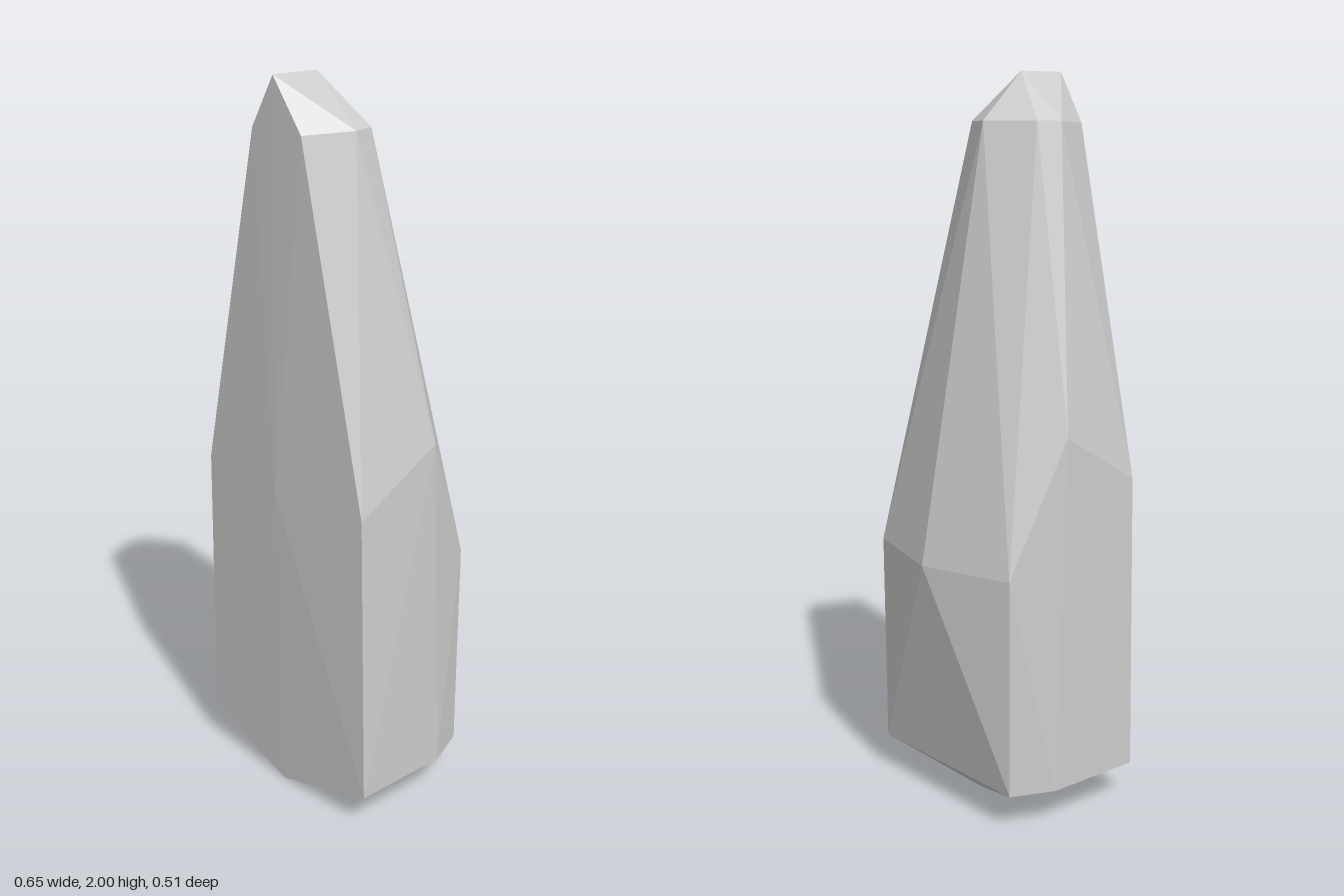
import * as THREE from 'three';
import { ConvexGeometry } from 'three/addons/geometries/ConvexGeometry.js';

// Centre-line points: slightly left of the middle
const CENTRE_X = -0.01;
const centre = (y, z) => new THREE.Vector3(CENTRE_X, y, z);

// A point and its mirror image
const pair = (x, y, z) => [new THREE.Vector3(x, y, z), new THREE.Vector3(-x, y, z)];

export function createModel() {
  const group = new THREE.Group();
  group.name = 'crystal';

  const points = [
    // pointed foot, with a short ridge along the bottom
    centre(0, 0.235), centre(0, -0.05),
    // lower ring: front, side and back corners
    ...pair(0.325, 0.1, 0.235),
    ...pair(0.325, 0.1, -0.05),
    ...pair(0.275, 0.1, -0.17),
    // widest ring: front, side and back corners, with raised centres
    ...pair(0.312, 0.92, 0.235),
    ...pair(0.323, 1.07, -0.016),
    ...pair(0.277, 0.7, -0.175),
    centre(0.9, 0.252), centre(0.7, -0.255),
    // shoulder ring
    ...pair(0.093, 1.865, 0.235),
    ...pair(0.152, 1.87, 0.108),
    ...pair(0.133, 1.87, 0.04),
    centre(1.87, -0.04),
    // ridge at the tip
    centre(2, 0.235), centre(2, 0.092),
  ];

  // Every edge is convex, so the facets are the hull of the corners
  const shard = new THREE.Mesh(
    new ConvexGeometry(points),
    new THREE.MeshStandardMaterial({ color: 0xcccccc, flatShading: true }),
  );
  shard.name = 'crystalShard';
  group.add(shard);
  return group;
}
